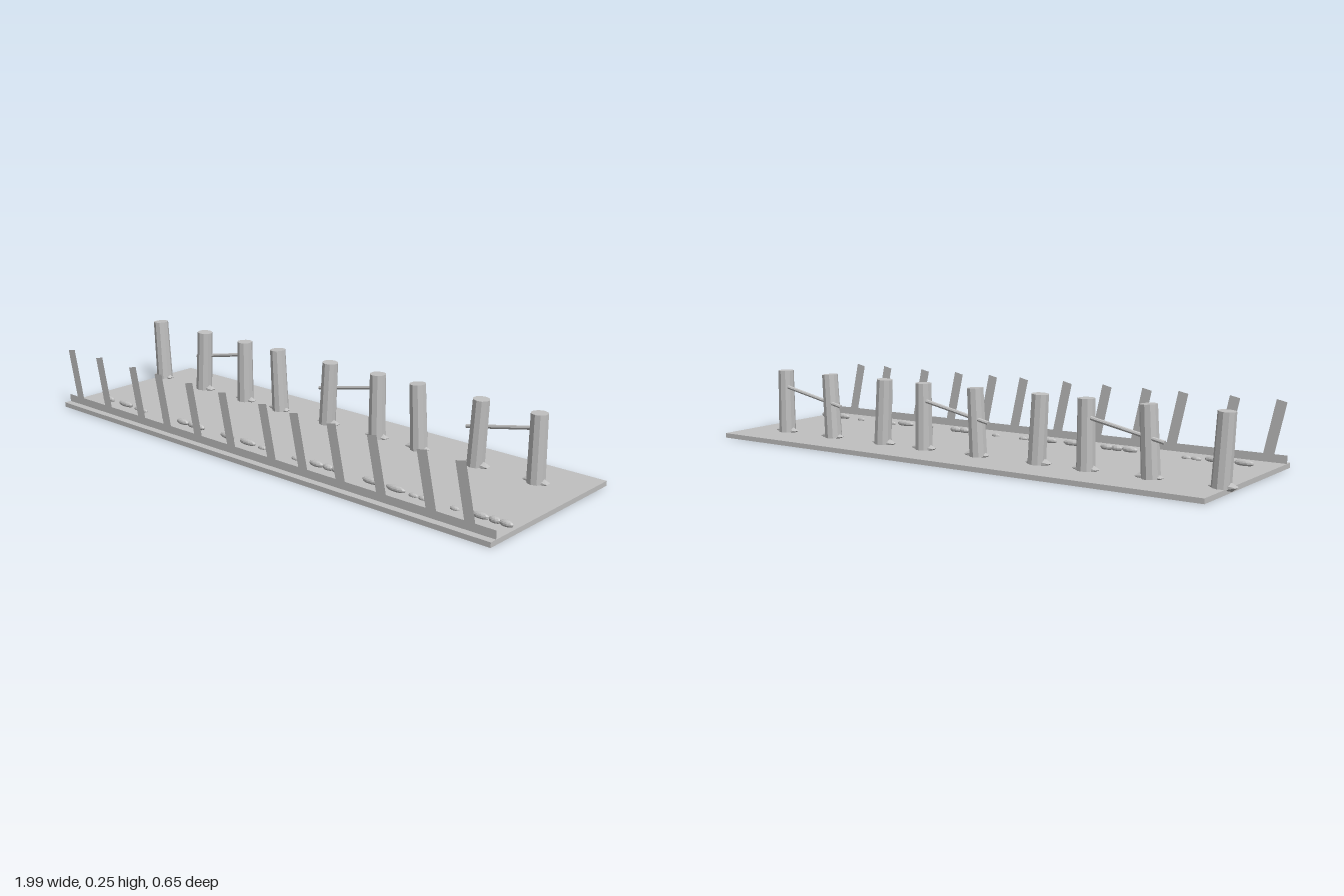
import * as THREE from 'three';

export function createModel() {
  const model = new THREE.Group();
  const grey = new THREE.MeshStandardMaterial({ color: 0xc0c0c0, flatShading: true });
  const greySheet = new THREE.MeshStandardMaterial({ color: 0xc0c0c0, side: THREE.DoubleSide });

  const add = (name, geometry, x, y, z, material = grey) => {
    const mesh = new THREE.Mesh(geometry, material);
    mesh.name = name;
    mesh.position.set(x, y, z);
    model.add(mesh);
    return mesh;
  };

  // ground slab
  const top = 0.017;
  add('base', new THREE.BoxGeometry(1.963, top, 0.654), 0.0175, top / 2, 0);

  // paper-thin kerb near the front edge
  const fenceZ = 0.3;
  add('kerb', new THREE.PlaneGeometry(1.963, 0.028), 0.0175, 0.031, fenceZ, greySheet);

  const postGeometry = new THREE.CylinderGeometry(0.029, 0.0315, 0.233, 10);
  const footGeometry = new THREE.IcosahedronGeometry(1, 0).scale(0.054, 0.016, 0.021);
  const slatGeometry = new THREE.PlaneGeometry(0.038, 0.194);
  const pebbleGeometry = new THREE.SphereGeometry(1, 10, 7);

  // posts: x and sideways lean
  const posts = [[-0.948, 0.055], [-0.7, -0.055], [-0.473, 0]];
  const slats = [-0.918, -0.753, -0.563, -0.423];
  // pebbles: x and half length
  const pebbles = [[-0.858, 0.035], [-0.757, 0.04], [-0.687, 0.019], [-0.65, 0.018],
    [-0.53, 0.018], [-0.436, 0.031], [-0.385, 0.022], [-0.345, 0.025]];

  // the same section repeats three times along the length
  for (let i = 0; i < 3; i++) {
    const dx = i * 0.655;

    for (const [x, lean] of posts) {
      add('post', postGeometry, x + dx, top + 0.1165, -0.1635).rotation.z = lean;
      add('postFoot', footGeometry, x + dx, 0.022, -0.1635);
    }

    // sloping rail through the middle post
    const from = new THREE.Vector3(-0.76 + dx, 0.137, -0.181);
    const to = new THREE.Vector3(-0.5 + dx, 0.19, -0.181);
    const rail = add('rail', new THREE.CylinderGeometry(0.007, 0.007, from.distanceTo(to), 8), 0, 0, 0);
    rail.position.lerpVectors(from, to, 0.5);
    rail.quaternion.setFromUnitVectors(new THREE.Vector3(0, 1, 0), to.clone().sub(from).normalize());

    // leaning fence slats
    for (const x of slats) {
      add('slat', slatGeometry, x + dx, 0.13, fenceZ, greySheet).rotation.z = 0.22;
    }

    // row of flat pebbles
    for (const [x, length] of pebbles) {
      const small = length < 0.02 ? 0.75 : 1;
      add('pebble', pebbleGeometry, x + dx, 0.025 - (1 - small) * 0.02, 0.197)
        .scale.set(length, 0.0115 * small, 0.0115 * small);
    }
  }
  return model;
}
